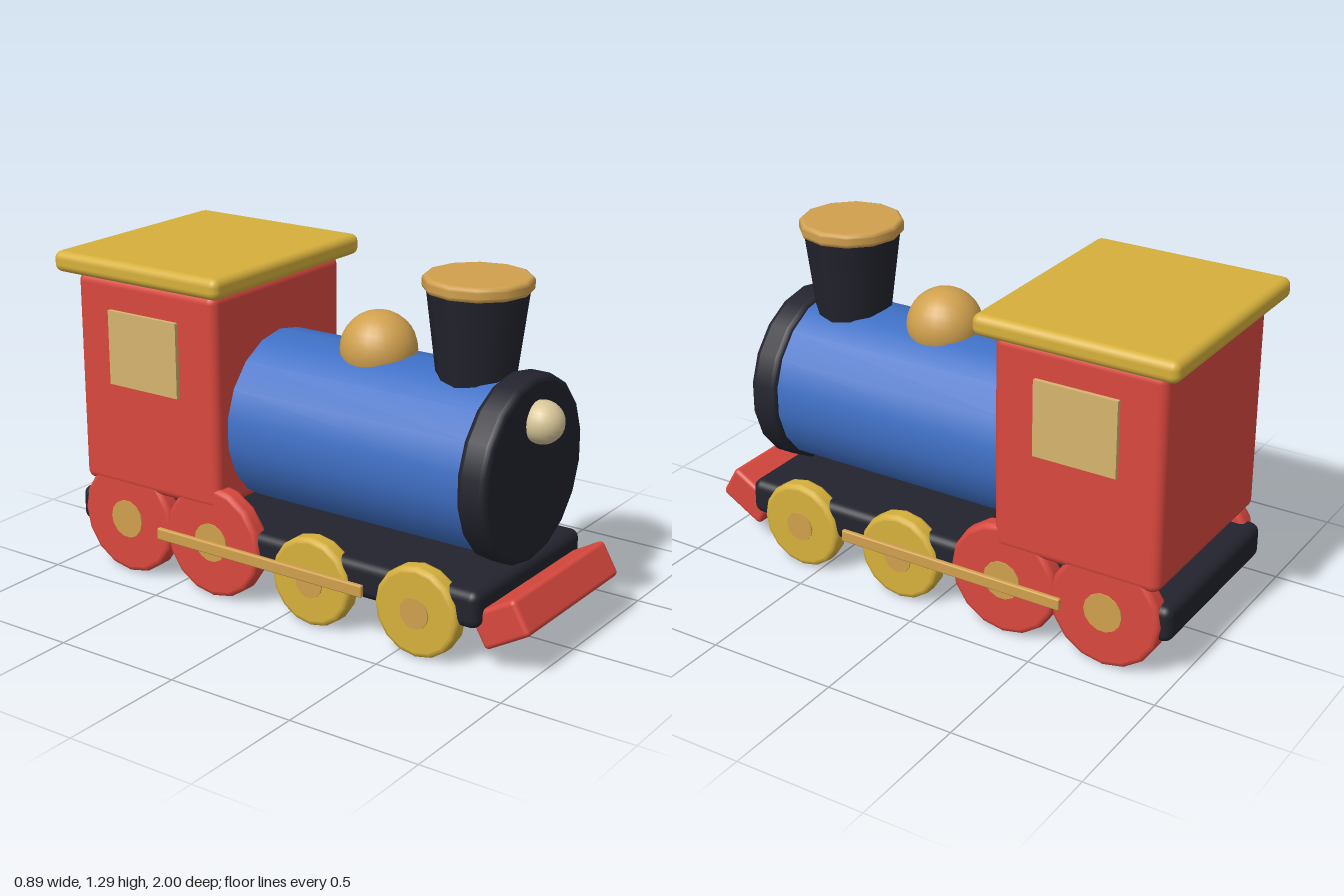
import * as THREE from 'three';
import { RoundedBoxGeometry } from 'three/addons/geometries/RoundedBoxGeometry.js';

const paint = (name, color) => {
  const m = new THREE.MeshStandardMaterial({ color });
  m.name = name;
  return m;
};

// Solid disc around the y axis with a rounded rim
function roundedDisc(radius, height, bevel, sides) {
  const h = height / 2, e = 0.001, pts = [[0, -h], [radius - bevel - e, -h]];
  for (const [cy, start] of [[-h + bevel, -Math.PI / 2], [h - bevel, 0]]) {
    for (let i = 0; i <= 3; i++) {
      const a = start + (i / 3) * Math.PI / 2;
      pts.push([radius - bevel + bevel * Math.cos(a), cy + bevel * Math.sin(a)]);
    }
    if (start < 0) pts.push([radius, -h + bevel + e], [radius, h - bevel - e]);
  }
  pts.push([radius - bevel - e, h], [0, h]);
  return new THREE.LatheGeometry(pts.map(([x, y]) => new THREE.Vector2(Math.max(x, 0), y)), sides);
}

export function createModel() {
  const red = paint('red', 0xd9483e);
  const yellow = paint('yellow', 0xd6b03c);
  const blue = paint('blue', 0x3f70c6);
  const dark = paint('charcoal', 0x22232d);
  const brass = paint('brass', 0xd0a04e);
  const glass = paint('window cream', 0xd5b46e);
  const cream = paint('lamp cream', 0xd8c698);

  const model = new THREE.Group();
  model.name = 'toyLocomotive';
  const add = (name, geometry, material, x, y, z, parent = model) => {
    const mesh = new THREE.Mesh(geometry, material);
    mesh.name = name;
    mesh.position.set(x, y, z);
    parent.add(mesh);
    return mesh;
  };
  const box = (w, h, d, r) => new RoundedBoxGeometry(w, h, d, 3, r);

  // Chassis, cab and roof
  add('chassis', box(0.74, 0.14, 1.8, 0.035), dark, 0, 0.23, -0.08);
  add('cab', box(0.775, 0.82, 0.655, 0.035), red, 0, 0.76, -0.608);
  add('roof', box(0.89, 0.08, 0.775, 0.03), yellow, 0, 1.21, -0.612);

  // Boiler and smokebox ring
  add('boiler', new THREE.CylinderGeometry(0.325, 0.325, 1.04, 18).rotateX(Math.PI / 2), blue, 0, 0.64, 0.22);
  add('smokebox', roundedDisc(0.342, 0.116, 0.022, 18).rotateX(Math.PI / 2), dark, 0, 0.638, 0.764);

  // Chimney, steam dome and headlamp
  add('chimney', new THREE.CylinderGeometry(0.182, 0.138, 0.35, 12), dark, 0, 1.085, 0.575);
  add('chimneyCap', roundedDisc(0.195, 0.053, 0.014, 12), brass, 0, 1.273, 0.575);
  add('steamDome', new THREE.SphereGeometry(0.142, 24, 16), brass, 0, 0.965, 0.165);
  add('headlamp', new THREE.SphereGeometry(0.078, 20, 14), cream, 0, 0.82, 0.845);

  // Tilted front guard
  add('frontGuard', box(0.655, 0.138, 0.2, 0.018), red, 0, 0.188, 0.883).rotation.x = -Math.PI / 6;

  // Wheels, hubs, rods and windows on both sides
  const wheels = [
    [0.58, 0.17, 0.058, yellow], [0.13, 0.17, 0.058, yellow],
    [-0.32, 0.218, 0.075, red], [-0.73, 0.218, 0.075, red],
  ];
  for (const side of [1, -1]) {
    const label = side > 0 ? 'left' : 'right';
    for (const [z, r, hubR, material] of wheels) {
      const wheel = new THREE.Group();
      wheel.name = label + 'Wheel';
      wheel.position.set(side * 0.348, r + 0.006, z);
      add('rim', roundedDisc(r, 0.074, 0.018, 16).rotateZ(Math.PI / 2), material, 0, 0, 0, wheel);
      add('hub', new THREE.CylinderGeometry(hubR, hubR, 0.084, 14).rotateZ(Math.PI / 2), brass, 0, 0, 0, wheel);
      model.add(wheel);
    }
    add(label + 'ConnectingRod', box(0.02, 0.046, 0.935, 0.006), brass, side * 0.397, 0.208, -0.098);
    add(label + 'Window', new THREE.BoxGeometry(0.03, 0.285, 0.322), glass, side * 0.389, 0.906, -0.61);
  }
  return model;
}
